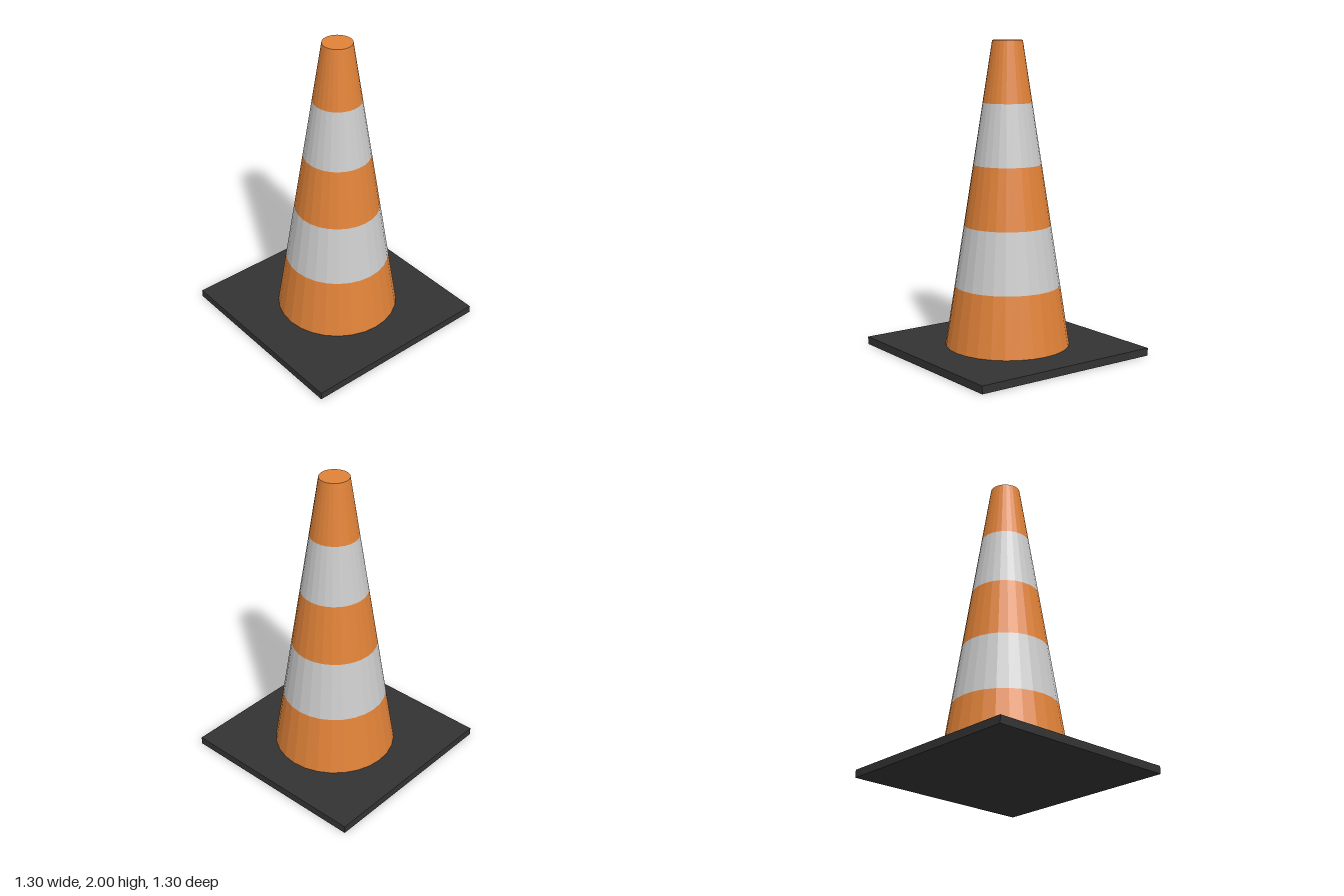
import * as THREE from 'three';

export function createModel() {
  const group = new THREE.Group();
  const material = (color) => new THREE.MeshStandardMaterial({ color, flatShading: true });
  const orange = material(0xe08238);
  const white = material(0xcccccc);
  const dark = material(0x333333);

  const add = (name, geometry, mat, y, z = 0) => {
    const mesh = new THREE.Mesh(geometry, mat);
    mesh.name = name;
    mesh.position.set(0, y, z);
    group.add(mesh);
  };

  // Square foot plate
  const plate = 0.05;
  add('basePlate', new THREE.BoxGeometry(1.3, plate, 1.3), dark, plate / 2);

  // Tapered body in five alternating bands, set slightly back on the plate
  const bands = 5, sides = 28, bottomRadius = 0.4, topRadius = 0.096, offsetZ = -0.02;
  const height = (2 - plate) / bands;
  const radiusAt = (i) => THREE.MathUtils.lerp(bottomRadius, topRadius, i / bands);
  for (let i = 0; i < bands; i++) {
    const isTop = i === bands - 1;
    const band = new THREE.CylinderGeometry(radiusAt(i + 1), radiusAt(i), height, sides, 1, !isTop);
    const striped = i % 2 === 1;
    add(`${striped ? 'whiteStripe' : 'orangeBand'}${i + 1}`, band, striped ? white : orange,
      plate + (i + 0.5) * height, offsetZ);
  }

  return group;
}
